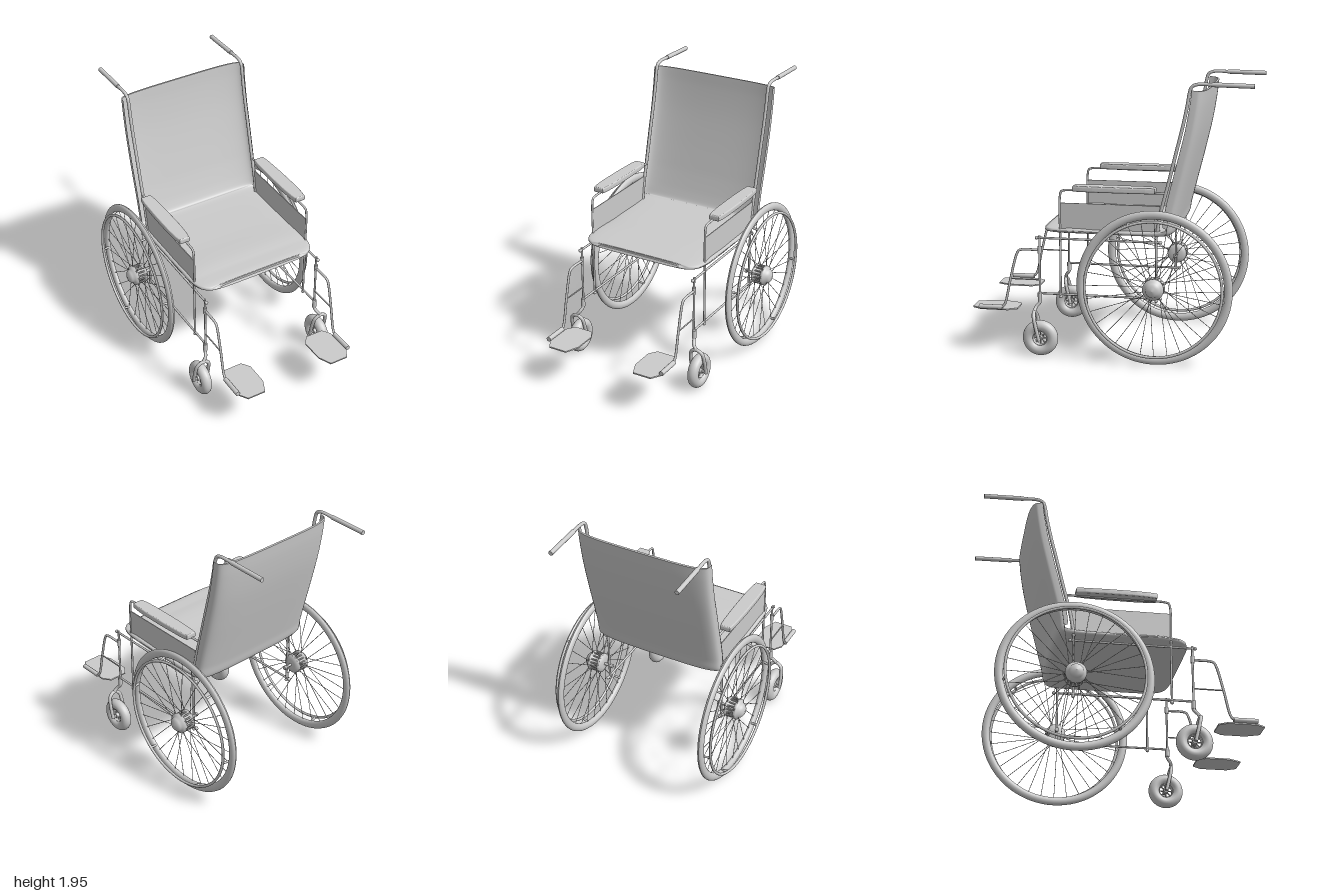
import * as THREE from 'three';

const mat = new THREE.MeshStandardMaterial({ color: 0xcccccc, side: THREE.DoubleSide });
const V = (x, y, z) => new THREE.Vector3(x, y, z);

function add(parent, name, geo, x = 0, y = 0, z = 0) {
  const m = new THREE.Mesh(geo, mat);
  m.name = name;
  m.position.set(x, y, z);
  parent.add(m);
  return m;
}

// Straight bar between two points
function rod(parent, name, a, b, r, sides = 10) {
  const m = add(parent, name, new THREE.CylinderGeometry(r, r, a.distanceTo(b), sides));
  m.position.copy(a).lerp(b, 0.5);
  m.quaternion.setFromUnitVectors(V(0, 1, 0), b.clone().sub(a).normalize());
  return m;
}

// Bent tube through points
function tube(parent, name, pts, r, segs = 48) {
  const c = new THREE.CatmullRomCurve3(pts, false, 'centripetal');
  return add(parent, name, new THREE.TubeGeometry(c, segs, r, 10));
}

// Profile of [radius, offset] turned around the x axis, offset growing outward on side s
function turned(parent, name, pts, s, y, z, segs = 48) {
  const g = new THREE.LatheGeometry(pts.map(p => new THREE.Vector2(p[0], p[1])), segs);
  const m = add(parent, name, g, 0, y, z);
  m.rotation.z = -s * Math.PI / 2;
  return m;
}

const ellipse = (R, x, a, b, n = 16) => Array.from({ length: n + 1 }, (_, i) => {
  const t = i / n * Math.PI * 2;
  return [R + a * Math.cos(t), x + b * Math.sin(t)];
});

// Seat and backrest: one shell swept from the front lip to the top edge
function seatShell() {
  // z, y, half width, edge depth, middle thickness, inner edge change
  const keys = [
    [0.482, 0.892, 0.33, 0.01, 0.02, -0.01],
    [0.465, 0.884, 0.40, 0.018, 0.036, -0.018],
    [0.42, 0.880, 0.45, 0.023, 0.046, -0.023],
    [0.33, 0.878, 0.477, 0.025, 0.05, -0.025],
    [0.0, 0.878, 0.482, 0.025, 0.05, -0.025],
    [-0.30, 0.878, 0.482, 0.025, 0.05, -0.02],
    [-0.42, 0.882, 0.483, 0.05, 0.055, 0.0],
    [-0.458, 0.91, 0.485, 0.075, 0.045, 0.035],
    [-0.48, 1.0, 0.487, 0.09, 0.025, 0.07],
    [-0.52, 1.16, 0.488, 0.095, 0.016, 0.084],
    [-0.575, 1.38, 0.49, 0.095, 0.014, 0.086],
    [-0.625, 1.60, 0.49, 0.092, 0.014, 0.083],
    [-0.655, 1.78, 0.49, 0.09, 0.014, 0.081],
    [-0.667, 1.89, 0.49, 0.088, 0.014, 0.079],
  ];
  const path = new THREE.CatmullRomCurve3(keys.map(k => V(k[0], k[1], k[2])));
  const form = new THREE.CatmullRomCurve3(keys.map(k => V(k[3], k[4], k[5])));
  const N = 90, M = 32, L = 2 * (M + 1), pos = [], idx = [];
  const steps = [[0, 1], [0, 0], ...Array.from({ length: N + 1 }, (_, j) => [j / N, 0]), [1, 0], [1, 1]];
  for (const [t, cap] of steps) {
    const p = path.getPoint(t), f = form.getPoint(t), d = path.getTangent(t);
    const len = Math.hypot(d.x, d.y);
    const nz = d.y / len, ny = -d.x / len;
    for (let i = 0; i < L; i++) {
      const k = i <= M ? i : L - 1 - i;
      const u = Math.sin((k / M - 0.5) * Math.PI);
      const bow = 1 - Math.pow(Math.max(0, 1 - u ** 4), 0.25);
      const outer = f.x * bow, inner = f.y + f.z * bow;
      const o = cap ? (outer + inner) / 2 : i <= M ? outer : inner;
      pos.push(p.z * u, p.y + ny * o, p.x + nz * o);
    }
  }
  for (let j = 0; j < steps.length - 1; j++) for (let i = 0; i < L; i++) {
    const a = j * L + i, b = j * L + (i + 1) % L;
    idx.push(a, a + L, b, b, a + L, b + L);
  }
  const g = new THREE.BufferGeometry();
  g.setAttribute('position', new THREE.Float32BufferAttribute(pos, 3));
  g.setIndex(idx);
  g.computeVertexNormals();
  return g;
}

function rearWheel(s) {
  const g = new THREE.Group();
  g.name = 'rearWheel';
  const y = 0.545, z = -0.337;
  const at = (x, r, t) => V(s * x, y + r * Math.sin(t), z + r * Math.cos(t));
  turned(g, 'tyre', ellipse(0.512, 0.56, 0.03, 0.021), s, y, z, 80);
  turned(g, 'handRim', ellipse(0.475, 0.615, 0.01, 0.01, 10), s, y, z, 80);
  turned(g, 'hub', [[0, 0.5], [0.04, 0.5], [0.07, 0.512], [0.074, 0.53], [0.052, 0.54], [0.052, 0.575],
    [0.074, 0.585], [0.074, 0.605], [0.056, 0.61], [0.05, 0.628], [0.032, 0.642], [0, 0.648]], s, y, z, 32);
  for (let i = 0; i < 6; i++) {
    const t = 0.15 + i * Math.PI / 3;
    rod(g, 'rimBracket', at(0.56, 0.488, t), at(0.615, 0.475, t), 0.008);
  }
  for (let i = 0; i < 32; i++) {
    const t = i * Math.PI / 16, lean = i % 4 < 2 ? 0.35 : -0.35;
    rod(g, 'spoke', at(i % 2 ? 0.522 : 0.595, 0.062, t + lean), at(0.56, 0.486, t), 0.0022, 5);
  }
  // Ribs around the hub barrel
  for (let i = 0; i < 16; i++) {
    const t = i * Math.PI / 8;
    rod(g, 'hubRib', at(0.515, 0.066, t), at(0.6, 0.066, t), 0.006, 6);
  }
  rod(g, 'axle', V(s * 0.44, y, z), V(s * 0.52, y, z), 0.01);
  rod(g, 'axleNut', V(s * 0.432, y, z), V(s * 0.447, y, z), 0.016);
  return g;
}

function caster(s) {
  const g = new THREE.Group();
  g.name = 'caster';
  const x = 0.5, y = 0.134, z = 0.48;
  add(g, 'casterTyre', new THREE.TorusGeometry(0.087, 0.04, 18, 40), s * x, y, z).rotation.y = Math.PI / 2;
  turned(g, 'casterRim', ellipse(0.05, x, 0.006, 0.022, 10), s, y, z, 32);
  rod(g, 'casterHub', V(s * 0.472, y, z), V(s * 0.528, y, z), 0.018, 16);
  for (let i = 0; i < 8; i++) {
    const t = i * Math.PI / 4;
    rod(g, 'casterSpoke', V(s * x, y, z), V(s * x, y + 0.052 * Math.sin(t), z + 0.052 * Math.cos(t)), 0.005, 6);
  }
  rod(g, 'casterAxle', V(s * 0.438, y, z), V(s * 0.562, y, z), 0.009);
  tube(g, 'fork', [[-0.054, 0.125, 0.478], [-0.054, 0.23, 0.503], [-0.042, 0.295, 0.518], [0, 0.32, 0.524],
    [0.042, 0.295, 0.518], [0.054, 0.23, 0.503], [0.054, 0.125, 0.478]].map(p => V(s * (x + p[0]), p[1], p[2])), 0.013);
  tube(g, 'casterStem', [V(s * 0.463, 0.45, 0.49), V(s * 0.463, 0.385, 0.49), V(s * 0.476, 0.35, 0.515),
    V(s * 0.5, 0.32, 0.524)], 0.012);
  rod(g, 'stemSleeve', V(s * 0.463, 0.39, 0.49), V(s * 0.463, 0.45, 0.49), 0.016);
  return g;
}

function frameSide(s) {
  const g = new THREE.Group();
  g.name = 'frameSide';
  const X = 0.46, P = (y, z, x = X) => V(s * x, y, z);
  rod(g, 'upperRail', P(0.845, 0.51), P(0.845, -0.37), 0.008);
  rod(g, 'lowerRail', P(0.447, 0.49), P(0.447, -0.37), 0.008);
  rod(g, 'frontPost', P(0.43, 0.49), P(0.86, 0.49), 0.008);
  rod(g, 'postSleeve', P(0.735, 0.49), P(0.785, 0.49), 0.014);
  for (const [y, z] of [[0.845, 0.51], [0.845, -0.365], [0.447, -0.365], [0.447, 0.49], [0.43, 0.34], [0.43, -0.337]])
    add(g, 'joint', new THREE.SphereGeometry(0.013, 12, 8), s * X, y, z);
  // Rear upright that turns into the push handle
  rod(g, 'rearPost', P(0.42, -0.337), P(0.9, -0.337), 0.008);
  tube(g, 'backPost', [P(0.88, -0.337), P(1.05, -0.365), P(1.25, -0.415), P(1.45, -0.463), P(1.65, -0.512), P(1.8, -0.543),
    P(1.88, -0.556), P(1.922, -0.572), P(1.938, -0.61), P(1.938, -0.72), P(1.934, -0.97)], 0.012, 90);
  rod(g, 'grip', P(1.938, -0.71), P(1.932, -0.992), 0.016, 14);
  // Armrest
  tube(g, 'armTube', [P(0.42, 0.34), P(0.8, 0.34), P(1.15, 0.34), P(1.182, 0.33), P(1.19, 0.30),
    P(1.19, 0), P(1.19, -0.4)], 0.008, 90);
  add(g, 'sidePanel', new THREE.BoxGeometry(0.006, 0.2, 0.7), s * X, 1.0, -0.01);
  const pad = new THREE.Shape([[-0.037, -0.33], [0.037, -0.33], [0.046, -0.27], [0.052, -0.1], [0.052, 0.1], [0.046, 0.19],
    [0.037, 0.24], [-0.037, 0.24], [-0.046, 0.19], [-0.052, 0.1], [-0.052, -0.1], [-0.046, -0.27]].map(p => new THREE.Vector2(p[0] * 0.87, -p[1] * 0.98)));
  const padGeo = new THREE.ExtrudeGeometry(pad, { depth: 0.016, bevelThickness: 0.012, bevelSize: 0.007, bevelSegments: 4 });
  padGeo.rotateX(-Math.PI / 2);
  add(g, 'armPad', padGeo, s * 0.472, 1.202, 0);
  // Leg rest and footplate
  tube(g, 'legTube', [P(0.757, 0.485), P(0.757, 0.61), P(0.748, 0.64), P(0.715, 0.658), P(0.54, 0.703),
    P(0.36, 0.745), P(0.335, 0.765), P(0.328, 0.79)], 0.009, 70);
  rod(g, 'legBrace', P(0.543, 0.49), P(0.543, 0.70), 0.005);
  rod(g, 'plateHinge', P(0.33, 0.765), P(0.33, 0.935), 0.017, 14);
  const plate = new THREE.Shape([[0.412, 0.67], [0.275, 0.67], [0.233, 0.73], [0.233, 0.9], [0.275, 0.995], [0.412, 0.995],
    [0.452, 0.93], [0.452, 0.73]].map(p => new THREE.Vector2(s * p[0], -p[1])));
  const plateGeo = new THREE.ExtrudeGeometry(plate, { depth: 0.01, bevelEnabled: false });
  plateGeo.rotateX(-Math.PI / 2);
  add(g, 'footplate', plateGeo, 0, 0.306, 0);
  return g;
}

export function createModel() {
  const model = new THREE.Group();
  model.name = 'wheelchair';
  add(model, 'seatAndBack', seatShell());
  for (const s of [1, -1]) {
    const side = new THREE.Group();
    side.name = s > 0 ? 'leftSide' : 'rightSide';
    side.add(rearWheel(s), caster(s), frameSide(s));
    model.add(side);
  }
  return model;
}
